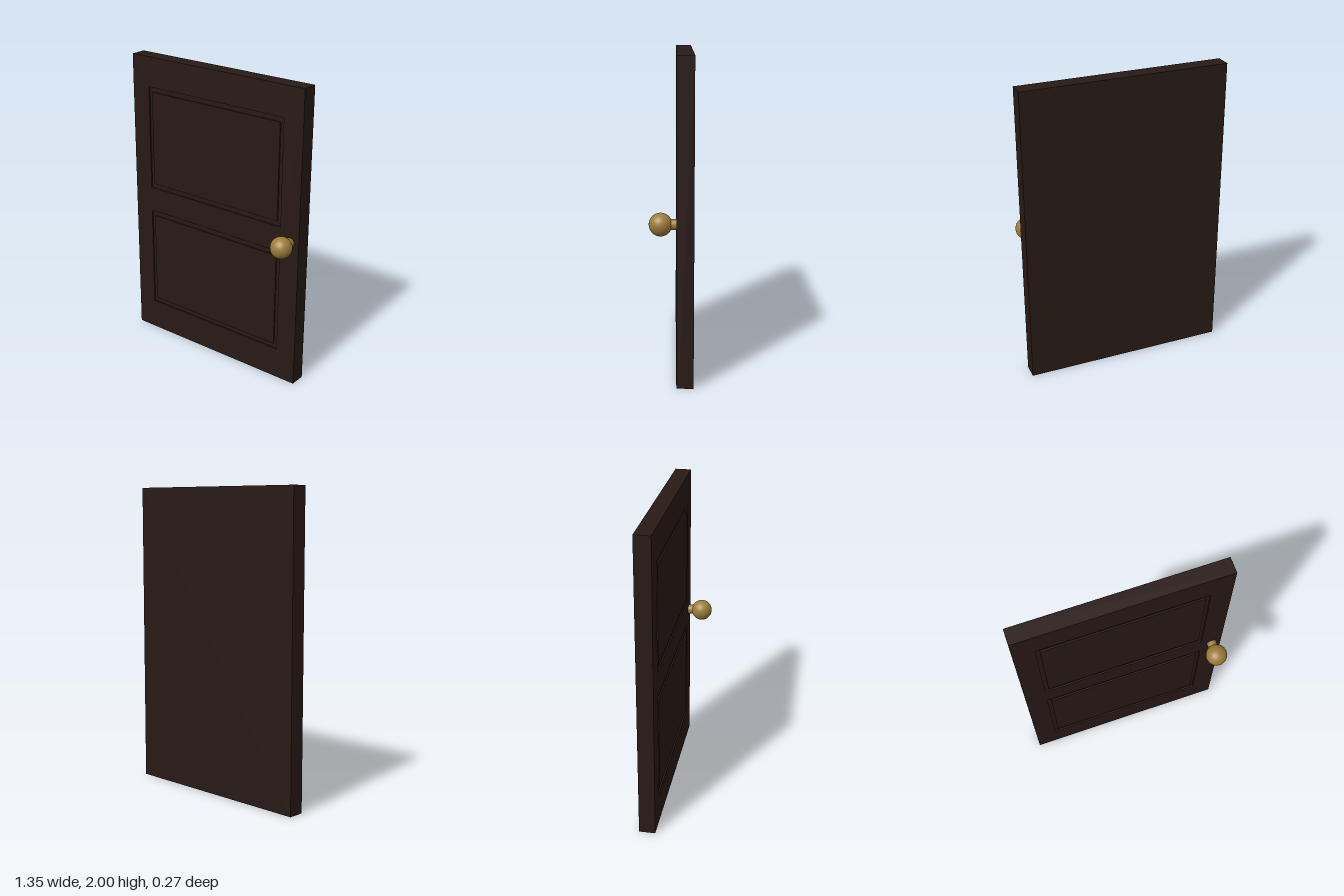
import * as THREE from 'three';

const wood = new THREE.MeshStandardMaterial({ color: 0x281a15 });
const brass = new THREE.MeshStandardMaterial({ color: 0x9c7c38 });

// Door extents
const LEFT = -0.675, RIGHT = 0.67, HEIGHT = 2;
const BACK = -0.135, FRONT = -0.03, GROOVE = 0.01;
const GROOVE_WIDTH = 0.026;
const panels = [
  { name: 'lowerPanel', x0: -0.54, x1: 0.53, y0: 0.21, y1: 0.92 },
  { name: 'upperPanel', x0: -0.54, x1: 0.53, y0: 1.09, y1: 1.8 },
];

function rectangle(Type, x0, y0, x1, y1) {
  return new Type([
    new THREE.Vector2(x0, y0), new THREE.Vector2(x1, y0),
    new THREE.Vector2(x1, y1), new THREE.Vector2(x0, y1),
  ]);
}

function addMesh(group, name, geometry, material, x = 0, y = 0, z = 0) {
  const mesh = new THREE.Mesh(geometry, material);
  mesh.name = name;
  mesh.position.set(x, y, z);
  group.add(mesh);
  return mesh;
}

function extrude(shape, depth) {
  return new THREE.ExtrudeGeometry(shape, { depth, bevelEnabled: false });
}

export function createModel() {
  const model = new THREE.Group();
  model.name = 'door';
  const floorZ = FRONT - GROOVE;

  // Solid slab up to the bottom of the grooves
  addMesh(model, 'slab', extrude(rectangle(THREE.Shape, LEFT, 0, RIGHT, HEIGHT), floorZ - BACK), wood, 0, 0, BACK);

  // Front frame with an opening for each panel
  const frame = rectangle(THREE.Shape, LEFT, 0, RIGHT, HEIGHT);
  for (const p of panels) frame.holes.push(rectangle(THREE.Path, p.x0, p.y0, p.x1, p.y1));
  addMesh(model, 'frontFrame', extrude(frame, GROOVE), wood, 0, 0, floorZ);

  // Raised fields, leaving a narrow groove around each
  for (const p of panels) {
    const g = GROOVE_WIDTH;
    const field = rectangle(THREE.Shape, p.x0 + g, p.y0 + g * 1.3, p.x1 - g, p.y1 - g * 1.3);
    addMesh(model, p.name, extrude(field, GROOVE), wood, 0, 0, floorZ);
  }

  // Knob and its stem
  const knob = new THREE.Group();
  knob.name = 'knob';
  knob.position.set(0.604, 1.007, 0);
  addMesh(knob, 'knobStem', new THREE.CylinderGeometry(0.032, 0.032, 0.06, 32), brass, 0, 0, -0.005).rotation.x = Math.PI / 2;
  addMesh(knob, 'knobBall', new THREE.SphereGeometry(0.07, 32, 24), brass, 0, 0, 0.064);
  model.add(knob);

  return model;
}
